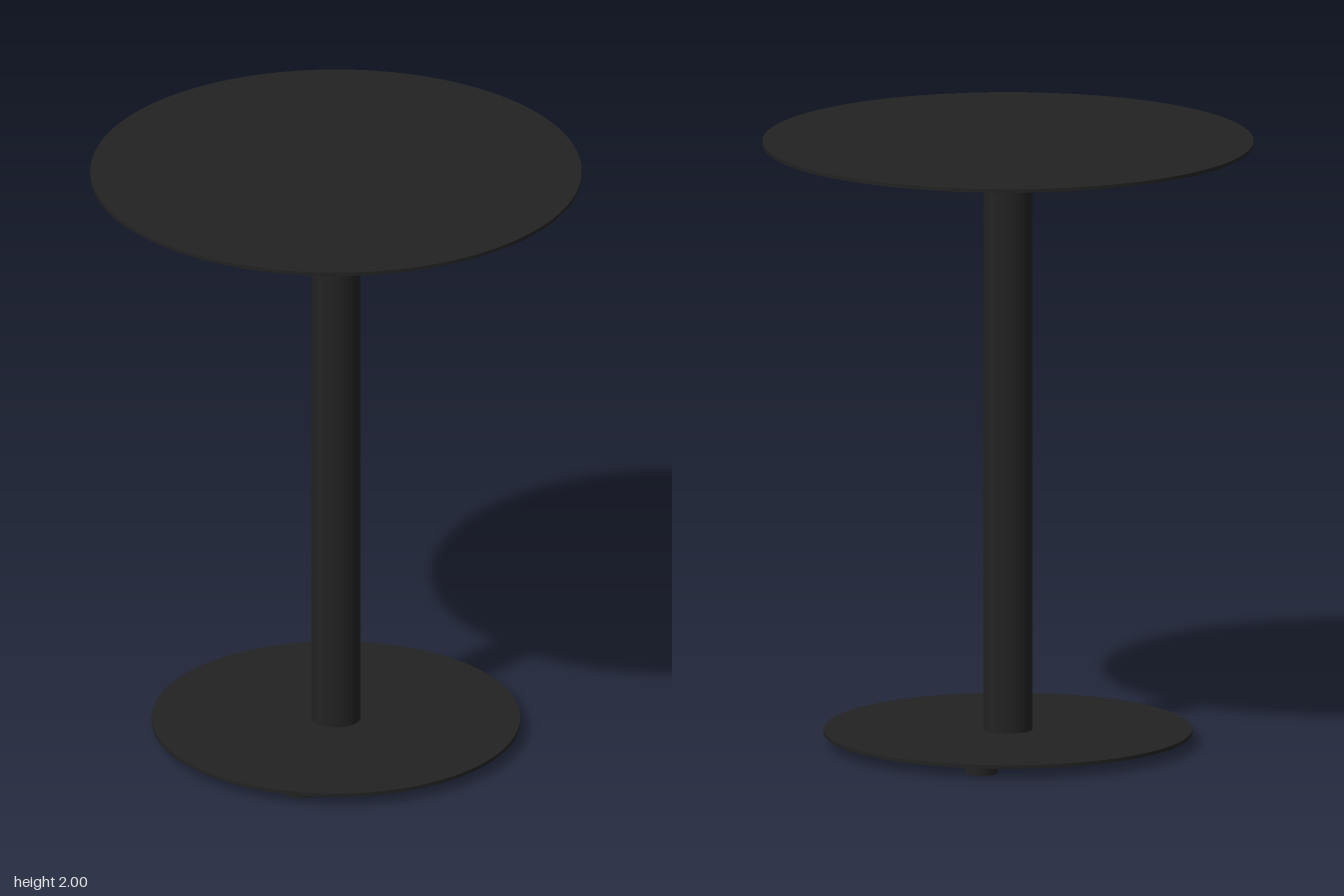
import * as THREE from 'three';

export function createModel() {
  const model = new THREE.Group();
  const black = new THREE.MeshStandardMaterial({ color: 0x222222 });

  // Upright disc or cylinder spanning y0..y1
  function disc(name, radius, y0, y1, segments, x = 0, z = 0) {
    const mesh = new THREE.Mesh(new THREE.CylinderGeometry(radius, radius, y1 - y0, segments), black);
    mesh.name = name;
    mesh.position.set(x, (y0 + y1) / 2, z);
    model.add(mesh);
  }

  // Same part repeated evenly around the column
  function ring(name, count, distance, radius, y0, y1, segments) {
    for (let i = 0; i < count; i++) {
      const a = (i / count) * Math.PI * 2;
      disc(name + (i + 1), radius, y0, y1, segments, distance * Math.cos(a), distance * Math.sin(a));
    }
  }

  disc('tableTop', 0.8, 1.988, 2, 128);
  disc('mountingPlate', 0.333, 1.98, 1.988, 96);
  ring('screw', 3, 0.24, 0.011, 1.968, 1.98, 20);
  disc('column', 0.08, 0.047, 1.98, 64);
  disc('basePlate', 0.6, 0.035, 0.047, 128);
  ring('foot', 4, 0.495, 0.054, 0, 0.035, 40);

  return model;
}
